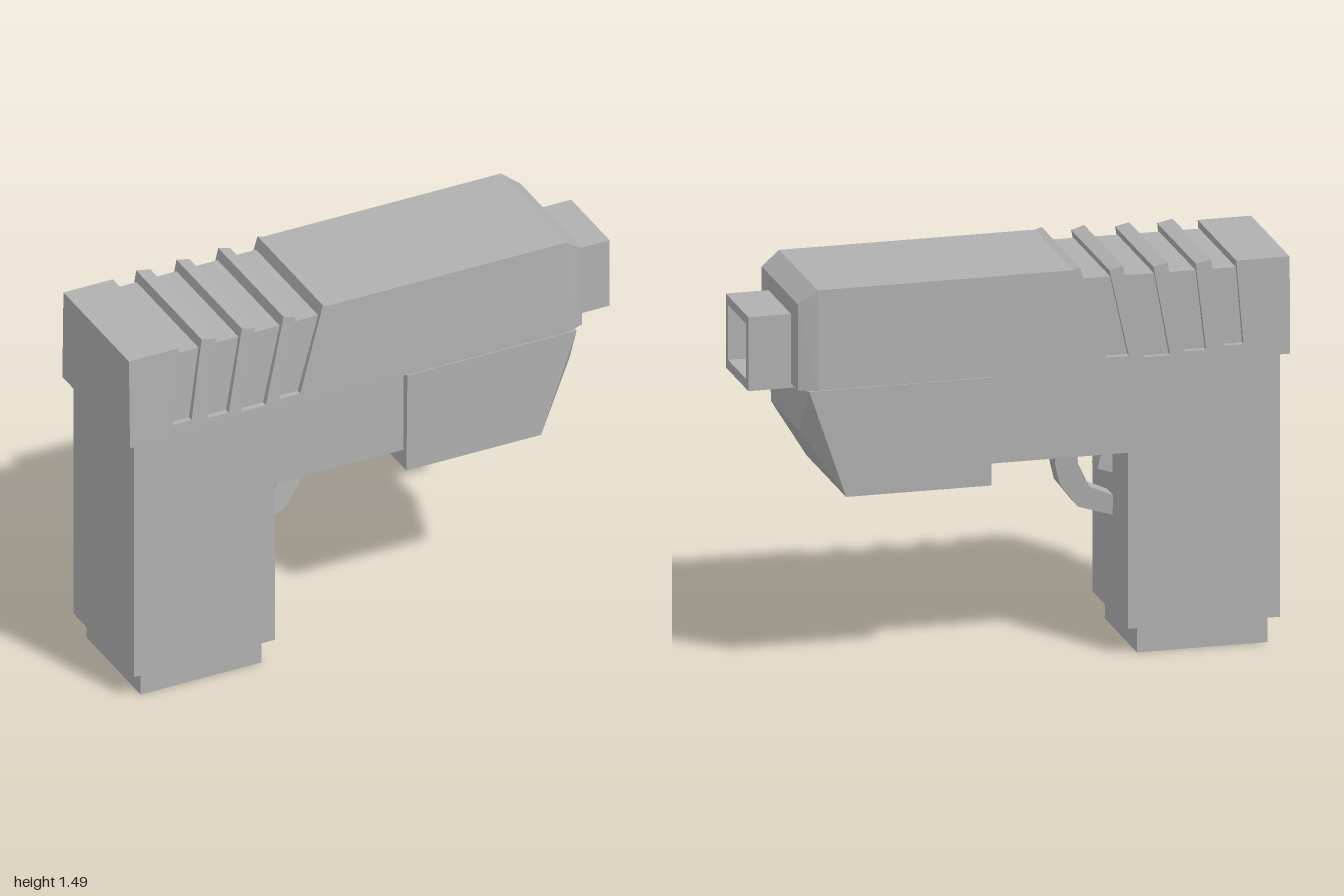
import * as THREE from 'three';
import { ConvexGeometry } from 'three/addons/geometries/ConvexGeometry.js';

const grey = new THREE.MeshStandardMaterial({ color: 0xb0b0b0 });
grey.name = 'plain grey';

function shapeOf(points) {
  return new THREE.Shape(points.map(([x, y]) => new THREE.Vector2(x, y)));
}

// Side profile extruded across z, centred on z = 0
function slab(points, halfWidth) {
  const g = new THREE.ExtrudeGeometry(shapeOf(points), { depth: halfWidth * 2, bevelEnabled: false });
  return g.translate(0, 0, -halfWidth);
}

// Convex block from points [x, y, z], each mirrored across z
function mirroredHull(points) {
  return new ConvexGeometry(points.flatMap(([x, y, z]) =>
    [new THREE.Vector3(x, y, z), new THREE.Vector3(x, y, -z)]));
}

// Shift or scale z according to height
function reshapeZ(g, rule) {
  const p = g.attributes.position;
  for (let i = 0; i < p.count; i++) p.setZ(i, rule(p.getZ(i), p.getY(i)));
  g.computeVertexNormals();
  return g;
}

export function createModel() {
  const model = new THREE.Group();
  const add = (name, geometry) => {
    const mesh = new THREE.Mesh(geometry, grey);
    mesh.name = name;
    model.add(mesh);
  };

  // Magazine base and L-shaped frame
  add('magazine', new THREE.BoxGeometry(0.49, 0.2, 0.436).translate(-0.685, 0.1, 0));
  add('frame', slab([[-0.97, 0.1], [-0.4, 0.1], [-0.4, 0.765], [0.13, 0.765], [0.13, 1.105], [-0.97, 1.105]], 0.245));

  // Slide with slanted grooves: top-left, bottom-left, bottom-right, top-right
  const grooves = [
    [[-0.8, 1.465], [-0.825, 1.15], [-0.75, 1.15], [-0.706, 1.477]],
    [[-0.648, 1.465], [-0.685, 1.14], [-0.6, 1.14], [-0.543, 1.477]],
    [[-0.49, 1.465], [-0.55, 1.13], [-0.45, 1.13], [-0.374, 1.48]],
    [[-0.325, 1.465], [-0.395, 1.14], [-0.31, 1.14], [-0.215, 1.485]],
  ];
  const slide = slab([[-1, 1.1], [-1, 1.465], ...grooves.flat(), [-0.19, 1.477], [0.77, 1.477], [0.77, 1.1]], 0.264);
  add('slide', reshapeZ(slide, (z, y) => z * (1 + (1.477 - y) * 0.09)));
  add('slideCore', slab([[-0.95, 1.11], [-0.1, 1.11], [-0.1, 1.44], [-0.95, 1.435]], 0.25));

  // Chamfered front of the slide
  add('slideNose', mirroredHull([
    [0.77, 1.1, 0.273], [0.77, 1.477, 0.264], [0.84, 1.1, 0.25], [0.84, 1.425, 0.247],
  ]));

  // Block under the barrel with a faceted front
  add('underBarrelBlock', mirroredHull([
    [0.12, 0.69, 0.27], [0.12, 1.1, 0.278],
    [0.665, 0.69, 0.27], [0.805, 1.1, 0.278],
    [0.82, 0.93, 0.19], [0.83, 1.085, 0.16],
  ]));

  // Hollow square muzzle
  const square = (hw, bottom, top) => [[-hw, bottom], [hw, bottom], [hw, top], [-hw, top]];
  const muzzleShape = shapeOf(square(0.155, 1.083, 1.362));
  muzzleShape.holes.push(shapeOf(square(0.123, 1.12, 1.328)));
  add('muzzle', new THREE.ExtrudeGeometry(muzzleShape, { depth: 0.18, bevelEnabled: false })
    .rotateY(Math.PI / 2).translate(0.82, 0, 0));

  // Trigger and its guard, leaning slightly sideways
  const lean = (z, y) => z + 0.012 - (y - 0.47) * 0.08;
  add('triggerGuard', reshapeZ(slab([
    [-0.41, 0.465], [-0.27, 0.51], [-0.2, 0.6], [-0.18, 0.68], [-0.18, 0.78],
    [-0.26, 0.78], [-0.265, 0.68], [-0.31, 0.585], [-0.41, 0.54],
  ], 0.043), lean));
  add('trigger', reshapeZ(slab([
    [-0.41, 0.625], [-0.345, 0.645], [-0.357, 0.7], [-0.355, 0.78], [-0.41, 0.78],
  ], 0.04), (z) => z + 0.013));

  return model;
}
